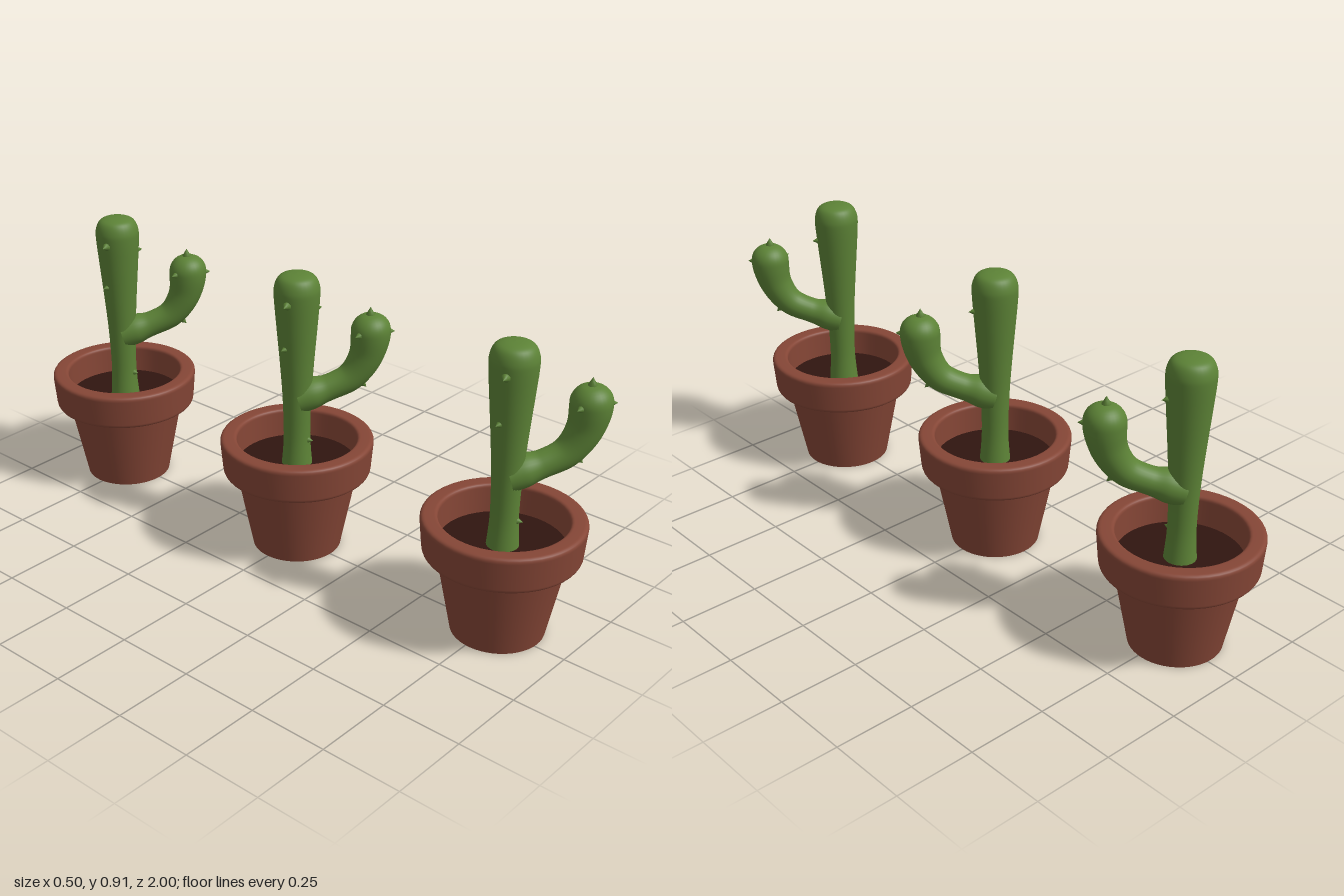
import * as THREE from 'three';
import { mergeVertices } from 'three/addons/utils/BufferGeometryUtils.js';

const V2 = (x, y) => new THREE.Vector2(x, y);
const V3 = (x, y, z) => new THREE.Vector3(x, y, z);
const clay = new THREE.MeshStandardMaterial({ color: 0x854636 });
const soilMat = new THREE.MeshStandardMaterial({ color: 0x301510 });
const green = new THREE.MeshStandardMaterial({ color: 0x5c8236 });

function mesh(name, geometry, material) {
  const m = new THREE.Mesh(geometry, material);
  m.name = name;
  return m;
}

// Profile from [radius, y, rounding] corners; a corner without rounding stays sharp
function profile(corners) {
  const pts = [];
  corners.forEach(([x, y, round], i) => {
    const p = V2(x, y);
    if (i === 0 || i === corners.length - 1) return pts.push(p);
    if (!round) return pts.push(p, p.clone());
    const toward = (c) => p.clone().add(V2(c[0], c[1]).sub(p).setLength(round));
    const arc = new THREE.QuadraticBezierCurve(toward(corners[i - 1]), p, toward(corners[i + 1]));
    pts.push(...arc.getPoints(6));
  });
  return pts;
}

// Tapered pot with a thick rounded rim, open at the top
function makePot() {
  const pot = new THREE.Group();
  pot.name = 'pot';
  const body = profile([[0, 0], [0.138, 0], [0.19, 0.262]]);
  const rim = profile([
    [0.18, 0.255], [0.228, 0.255, 0.014], [0.238, 0.37, 0.016], [0.186, 0.37, 0.012], [0.183, 0.26],
  ]);
  pot.add(mesh('potBody', new THREE.LatheGeometry(body, 48), clay));
  pot.add(mesh('potRim', new THREE.LatheGeometry(rim, 48), clay));
  const soil = mesh('soil', new THREE.CircleGeometry(0.185, 48).rotateX(-Math.PI / 2), soilMat);
  soil.position.y = 0.28;
  pot.add(soil);
  return pot;
}

// Trunk that widens upward and closes with a soft dome
function makeTrunk() {
  const curve = new THREE.SplineCurve([
    V2(0.048, 0.27), V2(0.041, 0.37), V2(0.044, 0.5), V2(0.052, 0.62), V2(0.062, 0.74),
    V2(0.069, 0.83), V2(0.068, 0.865), V2(0.056, 0.892), V2(0.033, 0.903), V2(0, 0.906),
  ]);
  return mesh('trunk', new THREE.LatheGeometry(curve.getPoints(50), 32), green);
}

// Arm in its own plane: x runs outward from the trunk
const armPath = new THREE.CatmullRomCurve3([
  V3(0, 0.5, 0), V3(0.05, 0.515, 0), V3(0.1, 0.53, 0), V3(0.165, 0.562, 0),
  V3(0.207, 0.622, 0), V3(0.223, 0.69, 0), V3(0.222, 0.765, 0),
]);
const armRadius = new THREE.SplineCurve([
  V2(0, 0.05), V2(0.12, 0.05), V2(0.25, 0.041), V2(0.45, 0.044),
  V2(0.65, 0.052), V2(0.82, 0.06), V2(1, 0.06),
]);

function makeArm() {
  const rings = 72, sides = 28, dome = 0.15;
  const geo = new THREE.TubeGeometry(armPath, rings, 1, sides);
  const pos = geo.attributes.position, v = V3(0, 0, 0);
  for (let i = 0; i <= rings; i++) {
    const t = i / rings, centre = armPath.getPointAt(t);
    const u = Math.max(0, (t - 1 + dome) / dome);
    const r = armRadius.getPoint(radiusParam(t)).y * Math.sqrt(Math.max(0, 1 - u ** 2.3));
    for (let j = 0; j <= sides; j++) {
      const k = i * (sides + 1) + j;
      v.fromBufferAttribute(pos, k).sub(centre).multiplyScalar(r).add(centre);
      pos.setXYZ(k, v.x, v.y, v.z);
    }
  }
  geo.deleteAttribute('uv');
  geo.deleteAttribute('normal');
  const smooth = mergeVertices(geo, 1e-5);
  smooth.computeVertexNormals();
  return mesh('arm', smooth, green);
}

// Find the spline parameter whose x equals t
function radiusParam(t) {
  let lo = 0, hi = 1;
  for (let n = 0; n < 24; n++) {
    const mid = (lo + hi) / 2;
    if (armRadius.getPoint(mid).x < t) lo = mid; else hi = mid;
  }
  return (lo + hi) / 2;
}

// Short flared thorn with its tip at the given point
function makeThorn(tip, dir, length = 0.036) {
  const pts = [V2(0.011, -length), V2(0.0135, -length * 0.65), V2(0.006, -length * 0.3), V2(0, 0)];
  const thorn = mesh('thorn', new THREE.LatheGeometry(pts, 10), green);
  thorn.quaternion.setFromUnitVectors(V3(0, 1, 0), dir.clone().normalize());
  thorn.position.copy(tip);
  return thorn;
}

function makeCactus() {
  const cactus = new THREE.Group();
  cactus.name = 'cactus';
  const arm = makeArm();
  arm.rotation.y = -Math.atan2(0.147, 0.168);
  cactus.add(makeTrunk(), arm);
  // Each thorn: tip position, then direction
  const thorns = [
    [[-0.087, 0.825, 0.025], [-0.95, 0, 0.28]],
    [[-0.072, 0.677, 0], [-1, 0, 0]],
    [[0.074, 0.785, 0.035], [0.9, 0, 0.43]],
    [[0.045, 0.54, 0.066], [0.45, -0.15, 0.85]],
    [[0.012, 0.365, 0.055], [0.2, 0, 0.98]],
    [[0.092, 0.71, 0.15], [-1, 0, 0]],
    [[0.221, 0.706, 0.199], [0.7, 0, 0.7]],
    [[0.16, 0.524, 0.142], [0.5, -0.68, 0.45]],
    [[0.166, 0.787, 0.147], [0, 1, 0]],
  ];
  for (const [tip, dir] of thorns) cactus.add(makeThorn(V3(...tip), V3(...dir)));
  return cactus;
}

export function createModel() {
  const model = new THREE.Group();
  model.name = 'pottedCacti';
  // Three identical plants in a row along z
  for (const [x, z] of [[-0.012, -0.763], [0, 0], [0.012, 0.763]]) {
    const plant = new THREE.Group();
    plant.name = 'pottedCactus';
    plant.add(makePot(), makeCactus());
    plant.position.set(x, 0, z);
    model.add(plant);
  }
  return model;
}
